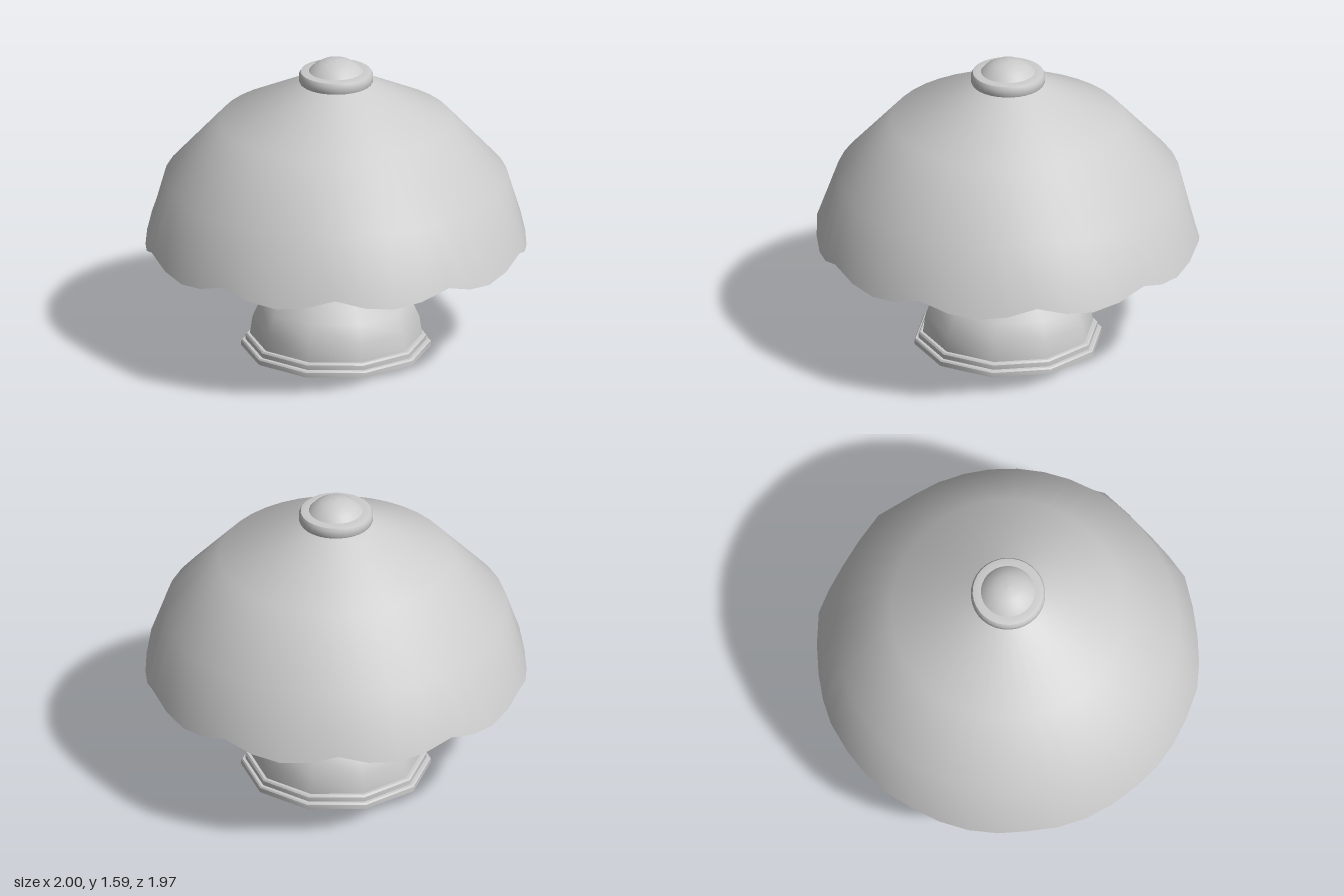
import * as THREE from 'three';
import { toCreasedNormals } from 'three/addons/utils/BufferGeometryUtils.js';

const mat = (opts = {}) => new THREE.MeshStandardMaterial({ color: 0xcccccc, ...opts });

// Profiles are [radius, height], listed bottom to top for an outward face
function lathe(profile, segments) {
  return new THREE.LatheGeometry(profile.map(([r, y]) => new THREE.Vector2(r, y)), segments);
}

// Pull the rim (vertices below rimTop) down into ten scallops
function scallop(geometry, rimTop = 0.7) {
  const p = geometry.attributes.position;
  for (let i = 0; i < p.count; i++) {
    if (p.getY(i) > rimTop) continue;
    const wave = Math.abs(Math.cos(5 * Math.atan2(p.getX(i), p.getZ(i))));
    const s = 1 - 0.015 * wave;
    p.setXYZ(i, p.getX(i) * s, p.getY(i) - 0.07 * wave, p.getZ(i) * s);
  }
  return geometry;
}

export function createModel() {
  const lamp = new THREE.Group();
  lamp.name = 'tableLamp';

  function add(name, geometry, material = mat(), crease = 0.66) {
    const mesh = new THREE.Mesh(crease ? toCreasedNormals(geometry, crease) : geometry, material);
    mesh.name = name;
    lamp.add(mesh);
    return mesh;
  }

  // Ten-sided stepped foot
  add('foot', lathe([
    [0, 0], [0.49, 0], [0.49, 0.025], [0.483, 0.033], [0.468, 0.034],
    [0.468, 0.058], [0.46, 0.067], [0.43, 0.068],
  ], 10));

  // Domed body
  add('body', lathe([
    [0.445, 0.067], [0.432, 0.16], [0.39, 0.255], [0.28, 0.37], [0.14, 0.455],
  ], 10), mat(), 0.8);

  // Waisted stem with a flared collar under the socket
  add('stem', lathe([
    [0.14, 0.45], [0.125, 0.49], [0.105, 0.59], [0.102, 0.75],
    [0.115, 0.83], [0.14, 0.87], [0.14, 0.91], [0, 0.92],
  ], 20));

  // Fluted socket rising to the cap
  const flutes = new THREE.Shape();
  for (let i = 0; i < 40; i++) {
    const a = (i / 40) * Math.PI * 2;
    const r = i % 4 < 2 ? 0.135 : 0.115;
    flutes[i ? 'lineTo' : 'moveTo'](r * Math.cos(a), r * Math.sin(a));
  }
  const socket = new THREE.ExtrudeGeometry(flutes, { depth: 0.55, bevelEnabled: false });
  socket.rotateX(-Math.PI / 2).translate(0, 0.91, 0);
  add('socket', socket, mat({ flatShading: true }), 0);

  // Shade: smooth outside, straight faceted lining, thin rim joining them
  add('shadeOuter', scallop(lathe([
    [1.0, 0.63], [0.888, 0.94], [0.605, 1.25], [0.185, 1.462],
  ], 40)), mat(), 0);
  add('shadeLining', scallop(lathe([
    [0.16, 1.45], [0.975, 0.63],
  ], 40)), mat({ flatShading: true }), 0);
  add('shadeRim', scallop(lathe([
    [0.975, 0.63], [1.0, 0.63],
  ], 40)), mat({ flatShading: true }), 0);

  // Rounded cap ring
  add('cap', lathe([
    [0, 1.45], [0.185, 1.455], [0.192, 1.47], [0.192, 1.502],
    [0.183, 1.518], [0.165, 1.522], [0.13, 1.522],
  ], 32));

  // Domed finial
  add('finial', lathe([
    [0.142, 1.52], [0.115, 1.549], [0.075, 1.572], [0.035, 1.582], [0, 1.585],
  ], 32), mat(), 0);

  return lamp;
}
